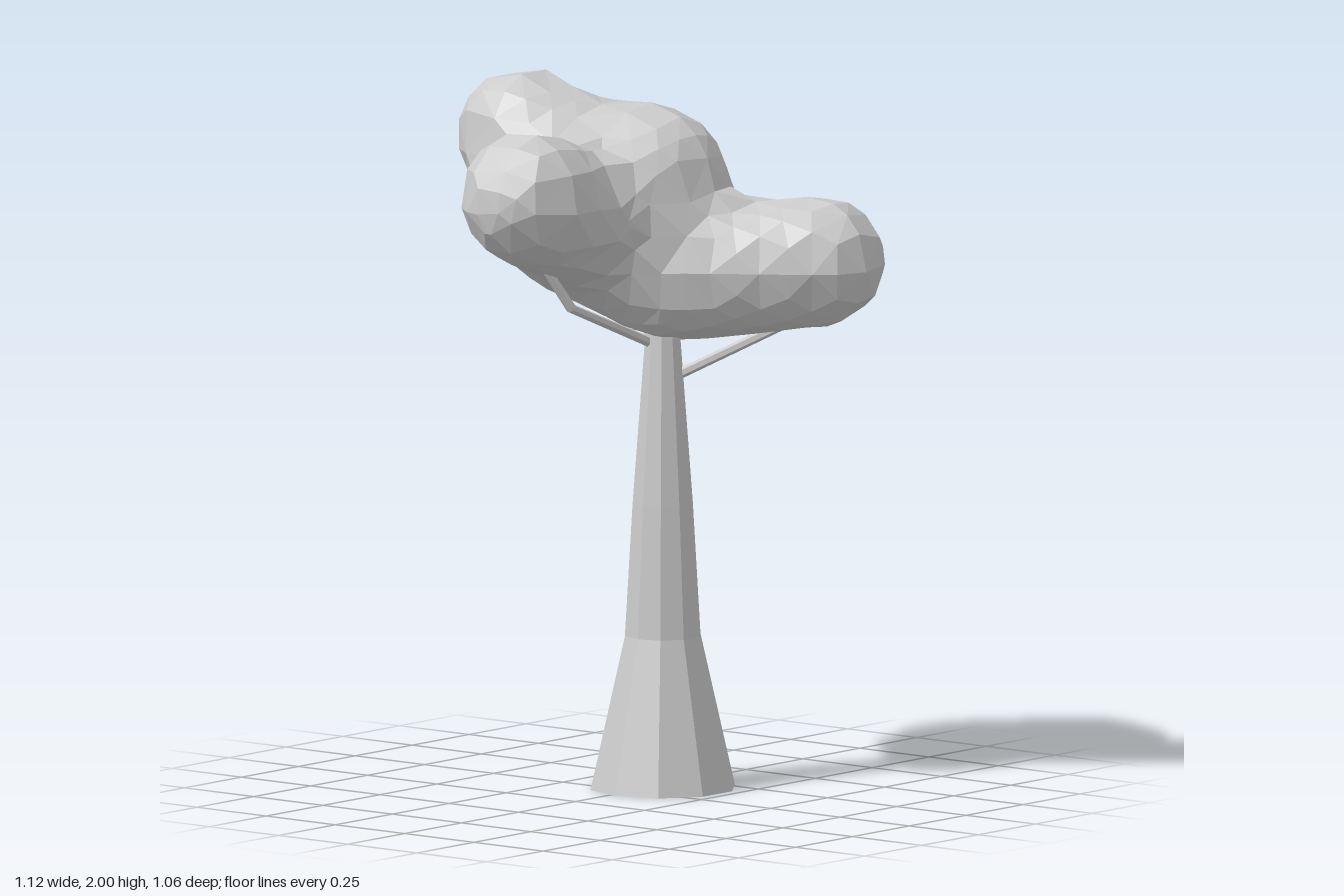
import * as THREE from 'three';

const V = (x, y, z) => new THREE.Vector3(x, y, z);
const material = new THREE.MeshStandardMaterial({ color: 0xcccccc, flatShading: true });

// Foliage lobes: capsules from a to b, with a radius at each end
const lobes = [
  { a: V(-0.08, 1.67, -0.13), b: V(-0.06, 1.685, -0.125), ra: 0.235, rb: 0.238 }, // core
  { a: V(0.08, 1.455, -0.14), b: V(0.385, 1.49, -0.355), ra: 0.19, rb: 0.183 },   // low side lobe
  { a: V(-0.09, 1.57, 0.0), b: V(-0.09, 1.705, 0.345), ra: 0.19, rb: 0.19 },      // front lobe
  { a: V(-0.28, 1.785, -0.02), b: V(-0.38, 1.82, 0.01), ra: 0.175, rb: 0.188 },   // high side lobe
  { a: V(-0.23, 1.56, -0.22), b: V(-0.23, 1.7, -0.245), ra: 0.19, rb: 0.19 },     // back lobe
  { a: V(-0.28, 1.63, 0.08), b: V(-0.23, 1.57, 0.0), ra: 0.165, rb: 0.18 },       // lower filler
  { a: V(-0.08, 1.5, -0.1), b: V(-0.02, 1.48, -0.1), ra: 0.18, rb: 0.18 },        // underside
];

// Smoothly blended distance to all lobes
function field(p) {
  const k = 0.09;
  let d = 10;
  for (const { a, b, ra, rb } of lobes) {
    const ab = b.clone().sub(a), ap = p.clone().sub(a);
    const t = THREE.MathUtils.clamp(ap.dot(ab) / ab.lengthSq(), 0, 1);
    const e = ap.addScaledVector(ab, -t).length() - THREE.MathUtils.lerp(ra, rb, t);
    const h = Math.max(k - Math.abs(d - e), 0) / k;
    d = Math.min(d, e) - h * h * k * 0.25;
  }
  return d;
}

// Pull a point onto the blended surface
function project(p) {
  const s = 0.02;
  for (let i = 0; i < 2; i++) {
    const g = V(
      field(V(p.x + s, p.y, p.z)) - field(V(p.x - s, p.y, p.z)),
      field(V(p.x, p.y + s, p.z)) - field(V(p.x, p.y - s, p.z)),
      field(V(p.x, p.y, p.z + s)) - field(V(p.x, p.y, p.z - s))).normalize();
    p.addScaledVector(g, THREE.MathUtils.clamp(-field(p), -0.02, 0.02));
  }
  return p;
}

// Coarse faceted skin: one vertex per grid cell crossed by the surface
function foliageGeometry() {
  const cell = 0.1, n = [15, 11, 15], origin = V(-0.7, 1.13, -0.69);
  const id = (c) => (c[0] * n[1] + c[1]) * n[2] + c[2];
  const at = (c) => V(c[0], c[1], c[2]).multiplyScalar(cell).add(origin);
  const grid = [], values = [], vertexOf = new Map(), points = [], index = [];
  for (let i = 0; i < n[0]; i++)
    for (let j = 0; j < n[1]; j++)
      for (let k = 0; k < n[2]; k++) {
        grid.push([i, j, k]);
        values.push(field(at([i, j, k])));
      }
  const step = (c, axis, by) => c.map((v, i) => (i === axis ? v + by : v));

  function vertex(c) {
    if (vertexOf.has(id(c))) return vertexOf.get(id(c));
    const sum = V(0, 0, 0);
    let count = 0;
    for (let corner = 0; corner < 8; corner++) {
      const p = c.map((v, i) => v + ((corner >> i) & 1));
      for (let axis = 0; axis < 3; axis++) {
        if ((corner >> axis) & 1) continue;
        const q = step(p, axis, 1), f = values[id(p)], g = values[id(q)];
        if ((f < 0) === (g < 0)) continue;
        sum.add(at(p).lerp(at(q), f / (f - g)));
        count++;
      }
    }
    points.push(project(sum.divideScalar(count)));
    vertexOf.set(id(c), points.length - 1);
    return points.length - 1;
  }

  for (const c of grid)
    for (let axis = 0; axis < 3; axis++) {
      const b = (axis + 1) % 3, d = (axis + 2) % 3;
      if (c[axis] + 1 >= n[axis] || c[b] < 1 || c[d] < 1) continue;
      const inside = values[id(c)] < 0;
      if (inside === (values[id(step(c, axis, 1))] < 0)) continue;
      const q = [c, step(c, b, -1), step(step(c, b, -1), d, -1), step(c, d, -1)].map(vertex);
      if (!inside) q.reverse();
      const [w, x, y, z] = q;
      if (points[w].distanceTo(points[y]) < points[x].distanceTo(points[z])) index.push(w, x, y, w, y, z);
      else index.push(w, x, z, x, y, z);
    }
  const geometry = new THREE.BufferGeometry().setFromPoints(points);
  geometry.setIndex(index);
  geometry.computeVertexNormals();
  return geometry;
}

// Thin branch through a few points
function branch(name, radius, points) {
  const group = new THREE.Group();
  group.name = name;
  for (let i = 1; i < points.length; i++) {
    const dir = points[i].clone().sub(points[i - 1]);
    const mesh = new THREE.Mesh(new THREE.CylinderGeometry(radius * 0.9, radius, dir.length() + radius * 0.5, 6), material);
    mesh.position.copy(points[i - 1]).addScaledVector(dir, 0.5);
    mesh.quaternion.setFromUnitVectors(V(0, 1, 0), dir.normalize());
    mesh.name = name + 'Segment';
    group.add(mesh);
  }
  return group;
}

export function createModel() {
  const tree = new THREE.Group();
  tree.name = 'tree';

  // Ten-sided flared trunk, closed at the bottom
  const profile = [[0, 0], [0.208, 0], [0.109, 0.43], [0.087, 0.8], [0.05, 1.28], [0.035, 1.5], [0, 1.5]];
  const trunk = new THREE.Mesh(
    new THREE.LatheGeometry(profile.map(([r, y]) => new THREE.Vector2(r, y)), 10), material);
  trunk.position.set(0.022, 0, -0.107);
  trunk.name = 'trunk';
  tree.add(trunk);

  // Branches reaching into the lobes
  tree.add(
    branch('lowBranch', 0.015, [V(0.04, 1.155, -0.12), V(0.3, 1.31, -0.3), V(0.36, 1.45, -0.34)]),
    branch('frontBranch', 0.015, [V(0.01, 1.25, -0.09), V(-0.04, 1.385, 0.22), V(-0.08, 1.53, 0.31)]),
    branch('sideBranch', 0.013, [V(0.01, 1.21, -0.11), V(-0.13, 1.32, -0.13), V(-0.25, 1.5, -0.13)]));

  const foliage = new THREE.Mesh(foliageGeometry(), material);
  foliage.name = 'foliage';
  tree.add(foliage);
  return tree;
}
